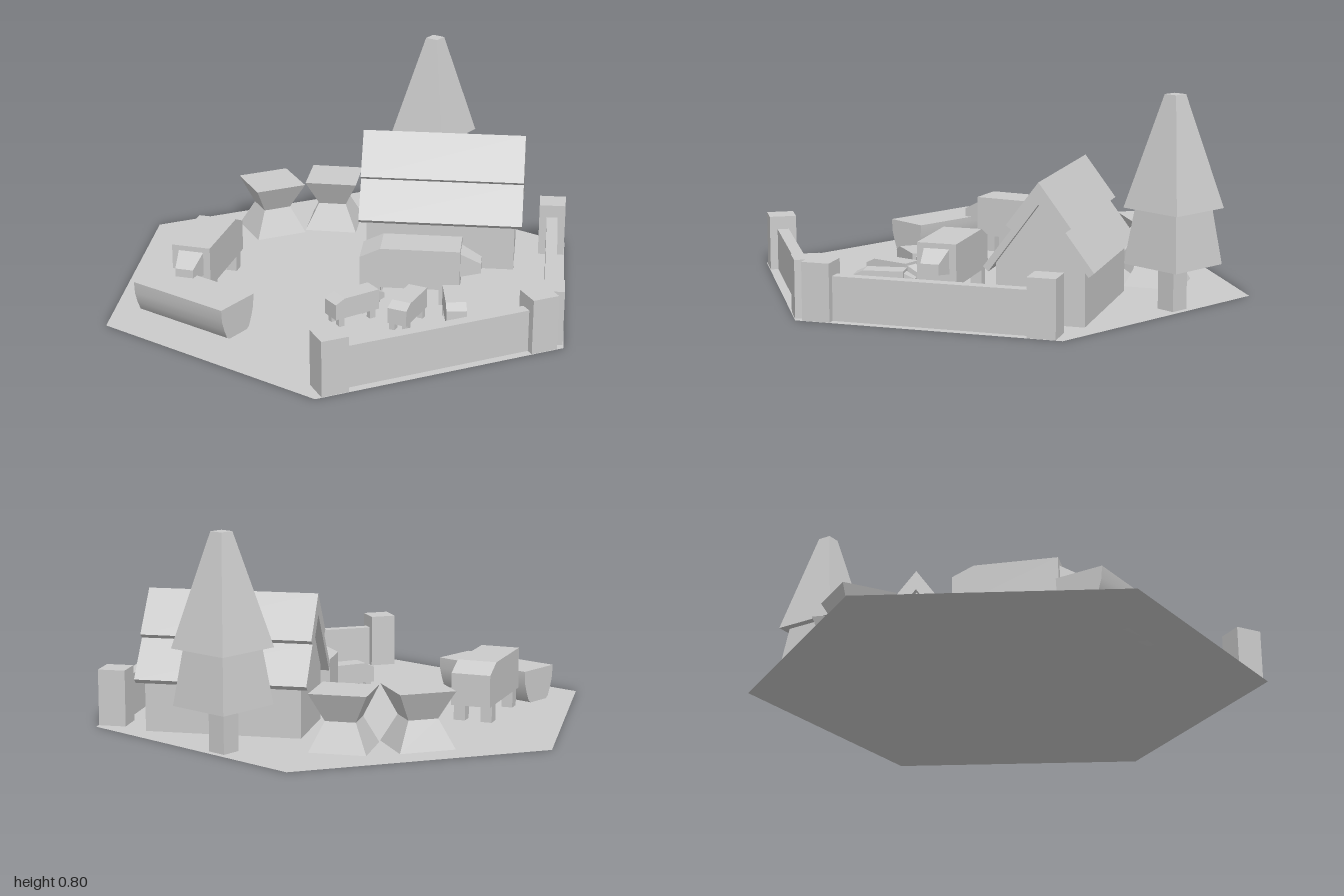
import * as THREE from 'three';
import { toCreasedNormals } from 'three/addons/utils/BufferGeometryUtils.js';

const flat = new THREE.MeshStandardMaterial({ color: 0xcccccc, flatShading: true });
const smooth = new THREE.MeshStandardMaterial({ color: 0xcccccc });
const sheet = new THREE.MeshStandardMaterial({ color: 0xcccccc, side: THREE.DoubleSide });

function add(parent, name, geometry, x = 0, y = 0, z = 0, material = flat) {
  const mesh = new THREE.Mesh(geometry, material);
  mesh.name = name;
  mesh.position.set(x, y, z);
  parent.add(mesh);
  return mesh;
}

function group(parent, name, x = 0, z = 0, turn = 0, scale = 1) {
  const g = new THREE.Group();
  g.name = name;
  g.position.set(x, 0, z);
  g.rotation.y = turn;
  g.scale.setScalar(scale);
  parent.add(g);
  return g;
}

// Profile in (z, y), extruded along x and centred on it
function prism(points, width) {
  const shape = new THREE.Shape(points.map(([a, b]) => new THREE.Vector2(a, b)));
  return new THREE.ExtrudeGeometry(shape, { depth: width, bevelEnabled: false })
    .translate(0, 0, -width / 2)
    .rotateY(-Math.PI / 2);
}

// Closed symmetric profile from its right half, listed top to bottom
function mirrored(half) {
  const left = half.filter(([a]) => a !== 0).map(([a, b]) => [-a, b]);
  return [...half, ...left.reverse()];
}

// Four-sided frustum given by side lengths
function frustum(top, bottom, height) {
  return new THREE.CylinderGeometry(top * Math.SQRT1_2, bottom * Math.SQRT1_2, height, 4, 1)
    .rotateY(Math.PI / 4);
}

function makePig(parent, name, x, z, turn, scale = 1) {
  const pig = group(parent, name, x, z, turn, scale);
  // Body with sloping rump
  add(pig, 'body', prism([
    [-0.195, 0.065], [0.195, 0.065], [0.195, 0.228], [-0.115, 0.228], [-0.195, 0.19],
  ], 0.155));
  // Head tapering to the snout
  const head = new THREE.BoxGeometry(0.1, 0.095, 0.08);
  const p = head.attributes.position;
  for (let i = 0; i < p.count; i++) {
    if (p.getZ(i) > 0) {
      p.setX(i, p.getX(i) * 0.72);
      p.setY(i, p.getY(i) > 0 ? 0.005 : -0.035);
    }
  }
  add(pig, 'head', head, 0, 0.16, 0.235);
  for (const sx of [-1, 1]) {
    for (const sz of [-1, 1]) {
      add(pig, 'leg', new THREE.BoxGeometry(0.045, 0.07, 0.05), sx * 0.054, 0.035, sz * 0.14);
    }
  }
}

function makeFence(parent, turn) {
  const fence = group(parent, 'fence', 0, 0, turn);
  add(fence, 'fenceWall', new THREE.BoxGeometry(0.045, 0.165, 0.78), 0.81, 0.0825, 0);
  for (const s of [-1, 1]) {
    add(fence, 'fencePost', new THREE.BoxGeometry(0.106, 0.217, 0.106), 0.81, 0.1085, s * 0.421);
  }
}

function makeBale(parent, x, z, turn) {
  const bale = group(parent, 'tiedBale', x, z, turn);
  add(bale, 'lowerHalf', frustum(0.115, 0.215, 0.108), 0, 0.054, 0);
  add(bale, 'upperHalf', frustum(0.215, 0.115, 0.108), 0, 0.162, 0);
}

export function createModel() {
  const model = new THREE.Group();
  model.name = 'pigFarmTile';

  // Hexagonal ground
  const ground = new THREE.CircleGeometry(1, 6).rotateX(-Math.PI / 2).rotateY(Math.PI / 6);
  add(model, 'ground', ground, 0, 0, 0, sheet);

  // Barn: gabled walls under a roof of two overlapping courses
  const barn = group(model, 'barn', 0.36, -0.36);
  add(barn, 'walls', prism(mirrored([[0, 0.445], [0.165, 0.215], [0.165, 0]]).reverse(), 0.6));
  add(barn, 'roof', prism([
    [0, 0.52], [0.12, 0.36], [0.1, 0.345], [0.205, 0.205], [0.185, 0.188], [0, 0.44],
    [-0.185, 0.188], [-0.205, 0.205], [-0.1, 0.345], [-0.12, 0.36],
  ], 0.66));

  // Tree behind the barn
  const tree = group(model, 'tree', 0.29, -0.762, 0.27 - Math.PI / 4);
  add(tree, 'trunk', new THREE.BoxGeometry(0.075, 0.18, 0.075), 0, 0.09, 0);
  add(tree, 'lowerFoliage', frustum(0.2, 0.255, 0.21), 0, 0.275, 0);
  add(tree, 'upperFoliage', frustum(0.055, 0.26, 0.42), 0, 0.59, 0);

  // Two fences along neighbouring edges
  makeFence(model, 0);
  makeFence(model, -Math.PI / 3);

  // Bales
  makeBale(model, -0.122, -0.616, -0.03);
  makeBale(model, -0.378, -0.527, Math.PI / 6);

  // Feeding trough with rounded underside
  const trough = prism(mirrored([
    [0.095, 0.132], [0.092, 0.085], [0.08, 0.045], [0.064, 0.008], [0.05, 0],
  ]), 0.436);
  add(group(model, 'feeding', -0.543, 0.407, -Math.PI / 6), 'trough',
    toCreasedNormals(trough, 0.7), 0, 0, 0, smooth);

  // Grown pigs and piglets
  makePig(model, 'pig', 0.265, 0.1, Math.PI / 2);
  makePig(model, 'pig', -0.55, 0.045, -0.165);
  makePig(model, 'piglet', 0.058, 0.335, 2.25, 0.5);
  makePig(model, 'piglet', 0.272, 0.347, 2.8, 0.5);
  makePig(model, 'piglet', 0.45, 0.33, -3.0, 0.5);

  return model;
}
